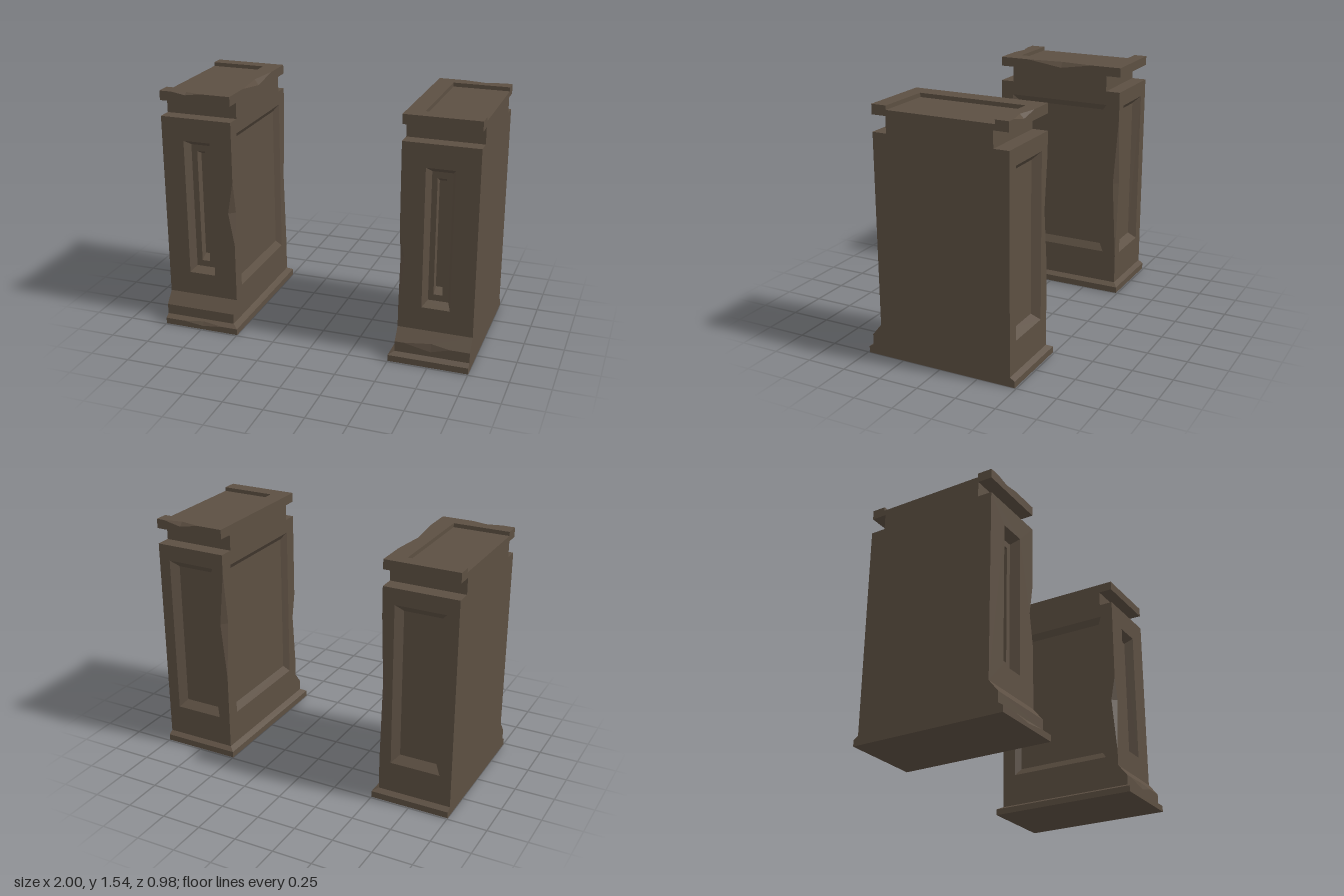
import * as THREE from 'three';

const V = (x, y, z) => new THREE.Vector3(x, y, z);
const IN = 0.535, OUT = 1, LIP = 0.5;

// Side profile as [z, y], running up the front, over the cap and down the back
const profile = [
  [0.49, 0], [0.49, 0.04], [0.46, 0.06], [0.46, 0.125], [0.4, 0.2], [0.4, 1.38],
  [0.31, 1.38], [0.31, 1.48], [0.4, 1.48], [0.4, 1.54], [-0.46, 1.54], [-0.46, 1.48],
  [-0.365, 1.48], [-0.365, 1.38], [-0.46, 1.38], [-0.46, 0.06], [-0.49, 0.04], [-0.49, 0],
];
const FRONT = 4, TOP = 9, BACK = 14;

const mean = (pts) => pts.reduce((m, p) => m.add(p), V(0, 0, 0)).divideScalar(pts.length);

// A chip on an edge: ends p, q and one bitten-in point on each neighbouring face
const chip = (p, q, a, b) => ({ p, q, bites: [a, b] });

const chipsLeft = [
  chip(V(IN, 0.3, 0.4), V(IN, 0.82, 0.4), V(0.565, 0.66, 0.4), V(IN, 0.66, 0.37)),
  chip(V(IN, 0.56, -0.46), V(IN, 1.26, -0.46), V(0.57, 0.92, -0.46), V(IN, 0.92, -0.425)),
  chip(V(0.7, 1.54, -0.46), V(0.95, 1.54, -0.46), V(0.83, 1.54, -0.435), V(0.83, 1.515, -0.46)),
  chip(V(0.59, 0.125, 0.46), V(0.88, 0.125, 0.46), V(0.76, 0.09, 0.46), V(0.76, 0.14, 0.448)),
];
const chipsRight = [
  chip(V(IN, 0.58, 0.4), V(IN, 1.0, 0.4), V(0.572, 0.79, 0.4), V(IN, 0.79, 0.365)),
  chip(V(IN, 0.25, -0.46), V(IN, 1.2, -0.46), V(0.57, 0.76, -0.46), V(IN, 0.76, -0.43)),
  chip(V(IN, 1.54, -0.26), V(IN, 1.54, 0.2), V(0.56, 1.54, -0.04), V(IN, 1.505, -0.04)),
  chip(V(0.73, 1.54, 0.4), V(0.92, 1.54, 0.4), V(0.83, 1.54, 0.378), V(0.83, 1.525, 0.4)),
  chip(V(0.6, 0.04, 0.49), V(0.87, 0.04, 0.49), V(0.74, 0.025, 0.49), V(0.74, 0.05, 0.475)),
];

// Is point p inside the segment a-b?
const onEdge = (p, a, b) => Math.abs(a.distanceTo(p) + p.distanceTo(b) - a.distanceTo(b)) < 1e-6;

// Cut the chips out of a polygon's outline
function notch(pts, chips) {
  const plane = new THREE.Plane().setFromCoplanarPoints(pts[0], pts[1], pts[2]);
  const out = [];
  pts.forEach((a, i) => {
    const b = pts[(i + 1) % pts.length];
    out.push(a);
    for (const c of chips) {
      if (!onEdge(c.p, a, b) || !onEdge(c.q, a, b)) continue;
      const bite = c.bites.find((t) => Math.abs(plane.distanceToPoint(t)) < 1e-4);
      if (!bite) continue;
      out.push(...(a.distanceTo(c.p) < a.distanceTo(c.q) ? [c.p, bite, c.q] : [c.q, bite, c.p]));
    }
  });
  return out;
}

// Rectangles on the front/back (z), inner (x) and top (y) planes
const rectZ = (x0, x1, y0, y1, z) => [V(x0, y0, z), V(x1, y0, z), V(x1, y1, z), V(x0, y1, z)];
const rectX = (z0, z1, y0, y1, x) => [V(x, y0, z0), V(x, y0, z1), V(x, y1, z1), V(x, y1, z0)];
const rectY = (x0, x1, z0, z1, y) => [V(x0, y, z0), V(x1, y, z0), V(x1, y, z1), V(x0, y, z1)];

function createPedestal(side, chips, material) {
  const parts = {};

  // Flat polygon facing roughly along "out"
  function poly(part, points, out, holes = []) {
    const pts = notch(points, chips);
    const ax = Math.abs(out.x), ay = Math.abs(out.y), az = Math.abs(out.z);
    const flat = (p) => (ax >= ay && ax >= az ? new THREE.Vector2(p.z, p.y)
      : ay >= az ? new THREE.Vector2(p.x, p.z) : new THREE.Vector2(p.x, p.y));
    const all = [pts, ...holes].flat();
    const tris = THREE.ShapeUtils.triangulateShape(pts.map(flat), holes.map((h) => h.map(flat)));
    const list = (parts[part] ??= []);
    for (const t of tris) {
      const [a, b, c] = t.map((i) => all[i]);
      const n = b.clone().sub(a).cross(c.clone().sub(a));
      const flip = (n.dot(out) < 0) !== (side < 0);
      for (const p of flip ? [a, c, b] : [a, b, c]) list.push(p.x * side, p.y, p.z);
    }
  }

  // Sloping walls between an opening and the smaller rectangle behind it
  function walls(part, outer, inner) {
    const centre = mean(outer);
    outer.forEach((p, i) => {
      const j = (i + 1) % 4;
      const quad = [p, outer[j], inner[j], inner[i]];
      // Face along the quad's own normal, turned toward the opening
      const n = outer[j].clone().sub(p).cross(inner[i].clone().sub(p)).normalize();
      if (n.dot(centre.clone().sub(mean(quad))) < 0) n.negate();
      poly(part, quad, n);
    });
  }

  // Panel openings
  const frontHole = rectZ(0.68, 0.855, 0.35, 1.235, 0.4);
  const backHole = rectZ(0.61, 0.925, 0.255, 1.28, -0.46);
  const innerHole = rectX(-0.37, 0.315, 0.27, 1.29, IN);

  // Strips across the profile: front, back, cap, neck and underside
  profile.forEach((a, i) => {
    const b = profile[(i + 1) % profile.length];
    if (i === TOP) return;
    const xa = a[1] <= 0.04 ? LIP : IN, xb = b[1] <= 0.04 ? LIP : IN;
    const holes = i === FRONT ? [frontHole] : i === BACK ? [backHole] : [];
    poly('body', [V(xa, a[1], a[0]), V(OUT, a[1], a[0]), V(OUT, b[1], b[0]), V(xb, b[1], b[0])],
      V(0, a[0] - b[0], b[1] - a[1]), holes);
  });

  // Flat outer side, with the cap recess open to it
  const outer = [...profile];
  outer.splice(TOP + 1, 0, [0.305, 1.54], [0.305, 1.515], [-0.375, 1.515], [-0.375, 1.54]);
  poly('body', outer.map(([z, y]) => V(OUT, y, z)), V(1, 0, 0));

  // Inner side and its base lip
  poly('body', profile.slice(2, 16).map(([z, y]) => V(IN, y, z)), V(-1, 0, 0), [innerHole]);
  poly('body', rectX(-0.49, 0.49, 0, 0.04, LIP), V(-1, 0, 0));
  poly('body', [V(LIP, 0.04, -0.49), V(LIP, 0.04, 0.49), V(IN, 0.06, 0.46), V(IN, 0.06, -0.46)], V(-0.5, 1, 0));

  // Cap rim and shallow recess
  poly('capTop', [[IN, 0.4], [OUT, 0.4], [OUT, 0.305], [0.645, 0.305], [0.645, -0.375],
    [OUT, -0.375], [OUT, -0.46], [IN, -0.46]].map(([x, z]) => V(x, 1.54, z)), V(0, 1, 0));
  poly('capTop', rectY(0.645, OUT, -0.375, 0.305, 1.515), V(0, 1, 0));
  poly('capTop', rectX(-0.375, 0.305, 1.515, 1.54, 0.645), V(1, 0, 0));
  poly('capTop', rectZ(0.645, OUT, 1.515, 1.54, 0.305), V(0, 0, -1));
  poly('capTop', rectZ(0.645, OUT, 1.515, 1.54, -0.375), V(0, 0, 1));

  // Front panel with a deeper slot
  const frontFloor = rectZ(0.705, 0.83, 0.38, 1.2, 0.345);
  const slot = rectZ(0.738, 0.792, 0.42, 1.16, 0.345);
  const slotFloor = rectZ(0.738, 0.792, 0.45, 1.13, 0.29);
  walls('frontPanel', frontHole, frontFloor);
  poly('frontPanel', frontFloor, V(0, 0, 1), [slot]);
  walls('frontPanel', slot, slotFloor);
  poly('frontPanel', slotFloor, V(0, 0, 1));

  // Back and inner panels
  const backFloor = rectZ(0.65, 0.885, 0.3, 1.235, -0.415);
  walls('backPanel', backHole, backFloor);
  poly('backPanel', backFloor, V(0, 0, -1));
  const innerFloor = rectX(-0.335, 0.28, 0.315, 1.25, IN + 0.03);
  walls('innerPanel', innerHole, innerFloor);
  poly('innerPanel', innerFloor, V(-1, 0, 0));

  // Broken faces of the chips
  for (const { p, q, bites: [a, b] } of chips) {
    for (const end of [p, q]) {
      const n = a.clone().sub(end).cross(b.clone().sub(end)).normalize();
      if (n.dot(mean([p, q]).sub(mean([a, b]))) < 0) n.negate();
      poly('chips', [end, a, b], n);
    }
  }

  const group = new THREE.Group();
  for (const [name, list] of Object.entries(parts)) {
    const geometry = new THREE.BufferGeometry();
    geometry.setAttribute('position', new THREE.Float32BufferAttribute(list, 3));
    geometry.computeVertexNormals();
    const mesh = new THREE.Mesh(geometry, material);
    mesh.name = name;
    group.add(mesh);
  }
  return group;
}

export function createModel() {
  const stone = new THREE.MeshStandardMaterial({ color: 0x5c4f42 });
  stone.name = 'brown stone';
  const model = new THREE.Group();
  model.name = 'pedestalPair';
  const left = createPedestal(1, chipsLeft, stone);
  left.name = 'leftPedestal';
  const right = createPedestal(-1, chipsRight, stone);
  right.name = 'rightPedestal';
  model.add(left, right);
  return model;
}
